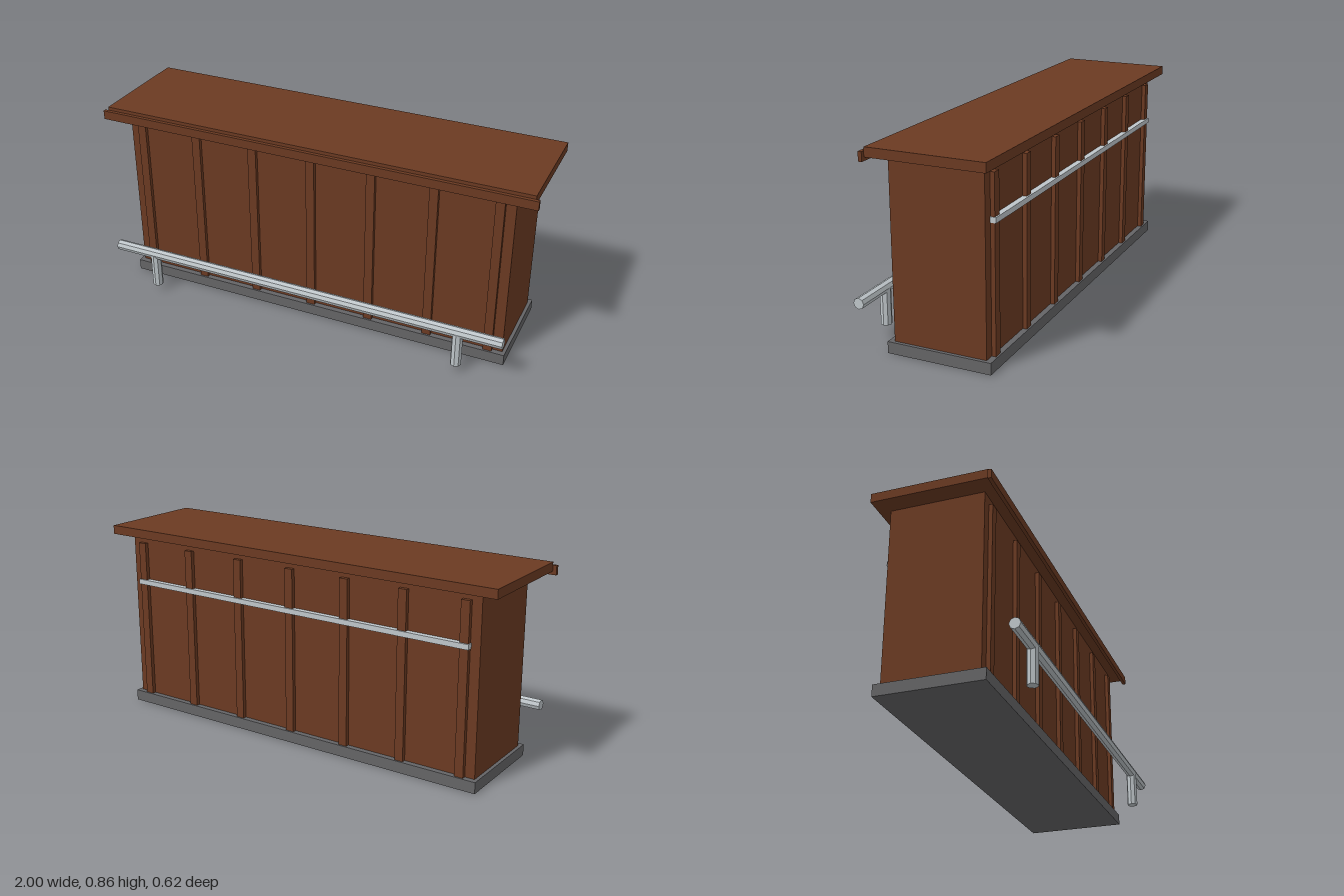
import * as THREE from 'three';

export function createModel() {
  const model = new THREE.Group();
  const material = (name, color) => {
    const m = new THREE.MeshStandardMaterial({ color });
    m.name = name;
    return m;
  };
  const wood = material('brown wood', 0x6b3a22);
  const plinth = material('dark grey', 0x646466);
  const steel = material('steel', 0xbfc6ca);
  steel.flatShading = true;

  // Box given by its extents on each axis
  const box = (name, mat, [x0, x1], [y0, y1], [z0, z1]) => {
    const mesh = new THREE.Mesh(new THREE.BoxGeometry(x1 - x0, y1 - y0, z1 - z0), mat);
    mesh.position.set((x0 + x1) / 2, (y0 + y1) / 2, (z0 + z1) / 2);
    mesh.name = name;
    model.add(mesh);
  };
  // Eight-sided steel bar
  const bar = (name, length, x, y, z) => {
    const mesh = new THREE.Mesh(new THREE.CylinderGeometry(0.024, 0.024, length, 8), steel);
    mesh.position.set(x, y, z);
    mesh.name = name;
    model.add(mesh);
    return mesh;
  };

  // Counter
  box('base', plinth, [-0.915, 0.915], [0, 0.05], [-0.285, 0.172]);
  box('body', wood, [-0.9, 0.9], [0.05, 0.822], [-0.26, 0.147]);
  box('counterTop', wood, [-0.984, 0.984], [0.821, 0.861], [-0.309, 0.197]);
  box('frontTrim', wood, [-1, 1], [0.806, 0.846], [0.197, 0.213]);

  // Upright battens, front and back
  for (let i = -3; i <= 3; i++) {
    const x = [i * 0.279 - 0.0195, i * 0.279 + 0.0195];
    box('frontBatten', wood, x, [0.05, 0.789], [0.147, 0.164]);
    box('backBatten', wood, x, [0.05, 0.789], [-0.278, -0.26]);
  }

  // Rail along the back
  box('backRail', steel, [-0.86, 0.86], [0.593, 0.616], [-0.285, -0.26]);

  // Foot rail on two posts
  bar('footRail', 1.87, 0, 0.198, 0.287).rotation.z = Math.PI / 2;
  for (const side of [-1, 1]) bar('footRailPost', 0.164, side * 0.738, 0.116, 0.287);

  return model;
}
